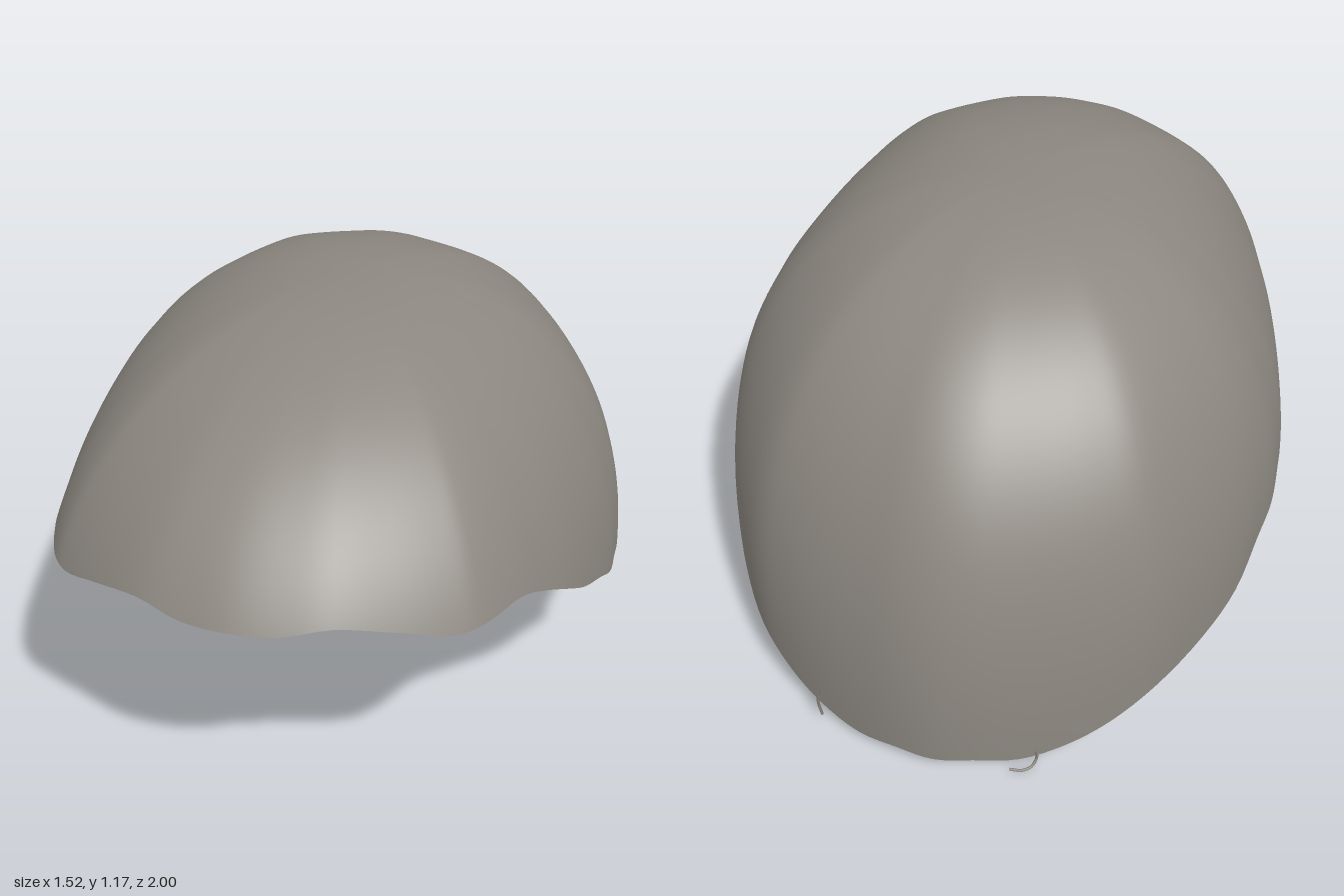
import * as THREE from 'three';

// Uneven rim of the cap, its left half from front to back: x, y, z
const RIM = [
  [0, 0.72, 1], [0.12, 0.722, 0.985], [0.23, 0.736, 0.945], [0.37, 0.705, 0.875],
  [0.48, 0.67, 0.805], [0.535, 0.668, 0.745], [0.6, 0.66, 0.6], [0.645, 0.61, 0.49],
  [0.685, 0.55, 0.385], [0.715, 0.49, 0.28], [0.742, 0.43, 0.14], [0.76, 0.365, 0],
  [0.76, 0.366, -0.07], [0.755, 0.335, -0.2], [0.73, 0.305, -0.31], [0.69, 0.237, -0.45],
  [0.62, 0.198, -0.6], [0.52, 0.16, -0.755], [0.42, 0.1, -0.84], [0.32, 0.058, -0.9],
  [0.21, 0.035, -0.95], [0.1, 0.046, -0.985],
];
const TOP = 1.173, BASE = 0.3;

// Domed shell: every meridian is a rounded arc from the crown, cut off at the rim
function domeGeometry(around = 176, rings = 48) {
  const left = RIM.map(([x, y, z]) => new THREE.Vector3(x, y, z));
  const right = left.slice(1).reverse().map(p => new THREE.Vector3(-p.x, p.y, p.z));
  const rim = new THREE.CatmullRomCurve3(
    [...left, new THREE.Vector3(0, 0.04, -0.998), ...right], true, 'centripetal');
  const positions = [0, TOP, 0], index = [];
  const edge = [];
  for (let j = 0; j < around; j++) edge.push(rim.getPoint(j / around));

  for (let i = 1; i <= rings; i++) {
    const s = Math.sin((i / rings) * Math.PI / 2);
    for (const p of edge) {
      const n = 2.2 + 0.25 * THREE.MathUtils.smoothstep(-p.z, 0, 1);
      const base = Math.min(BASE, p.y);
      const cut = (p.y - base) / (TOP - base);
      const reach = Math.pow(1 - Math.pow(cut, n), 1 / n);
      const height = Math.pow(Math.max(0, 1 - Math.pow(reach * s, n)), 1 / n);
      positions.push(p.x * s, base + (TOP - base) * height, p.z * s);
    }
  }

  const at = (i, j) => 1 + (i - 1) * around + (j % around);
  for (let j = 0; j < around; j++) {
    index.push(0, at(1, j), at(1, j + 1));
    for (let i = 1; i < rings; i++) {
      const a = at(i, j), b = at(i + 1, j), c = at(i + 1, j + 1), d = at(i, j + 1);
      index.push(a, b, c, a, c, d);
    }
  }
  const geometry = new THREE.BufferGeometry();
  geometry.setAttribute('position', new THREE.Float32BufferAttribute(positions, 3));
  geometry.setIndex(index);
  geometry.computeVertexNormals();
  return geometry;
}

export function createModel() {
  const group = new THREE.Group();
  group.name = 'cap';
  const grey = new THREE.MeshStandardMaterial({ color: 0x8c8780, side: THREE.DoubleSide });
  grey.name = 'warm grey';

  const add = (name, geometry) => {
    const mesh = new THREE.Mesh(geometry, grey);
    mesh.name = name;
    group.add(mesh);
  };
  add('shell', domeGeometry());

  // Loose strands at the back of the rim
  const strand = (name, points) => add(name, new THREE.TubeGeometry(
    new THREE.CatmullRomCurve3(points.map(p => new THREE.Vector3(...p))), 20, 0.004, 5));
  strand('hookedStrand', [
    [-0.25, 0.06, -0.935], [-0.252, 0.025, -0.93], [-0.242, 0.008, -0.945],
    [-0.22, 0.005, -0.96], [-0.19, 0.012, -0.968],
  ]);
  strand('shortStrand', [[0.315, 0.14, -0.93], [0.322, 0.085, -0.922], [0.318, 0.035, -0.915]]);
  return group;
}
